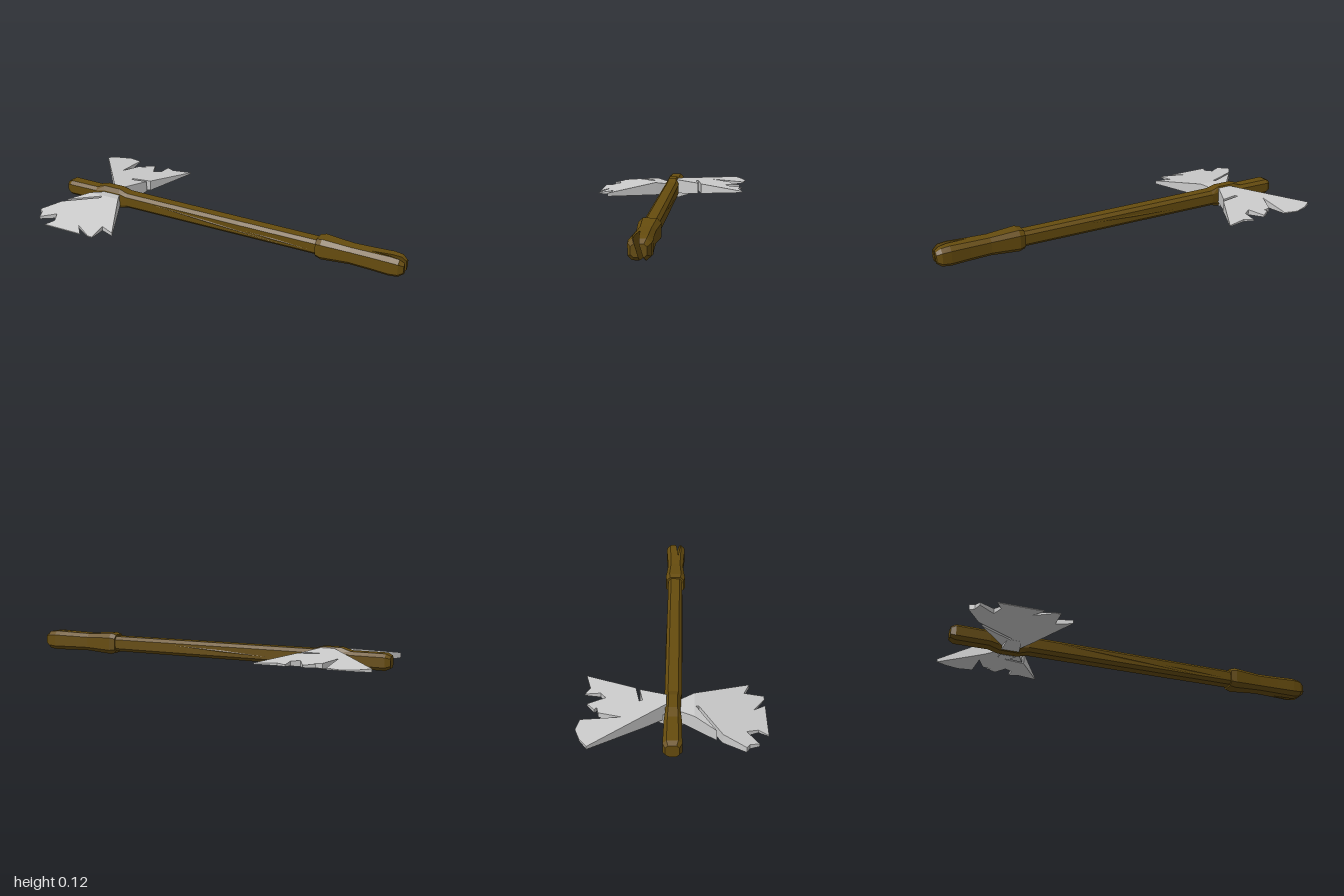
import * as THREE from 'three';

const steel = new THREE.MeshStandardMaterial({ color: 0xcccccc, flatShading: true, side: THREE.DoubleSide });
const wood = new THREE.MeshStandardMaterial({ color: 0x664c0e, flatShading: true });
const CY = 0.061; // height of the handle axis
const CHAMFER = 0.6;

// Skin a list of rings running along +x, closed with a cap at each end
function loft(rings) {
  const pos = [];
  const tri = (a, b, c) => pos.push(...a, ...b, ...c);
  const n = rings[0].length;
  for (let k = 0; k < rings.length - 1; k++) {
    for (let i = 0; i < n; i++) {
      const j = (i + 1) % n, A = rings[k], B = rings[k + 1];
      tri(A[i], A[j], B[i]);
      tri(A[j], B[j], B[i]);
    }
  }
  const first = rings[0], last = rings[rings.length - 1];
  for (let i = 1; i < n - 1; i++) {
    tri(first[0], first[i + 1], first[i]);
    tri(last[0], last[i], last[i + 1]);
  }
  const geo = new THREE.BufferGeometry();
  geo.setAttribute('position', new THREE.Float32BufferAttribute(pos, 3));
  geo.computeVertexNormals();
  return geo;
}

// Chamfered rectangle across the handle
function octagon([x, hy, hz]) {
  const fy = hy * CHAMFER, fz = hz * CHAMFER;
  return [[-fz, hy], [fz, hy], [hz, fy], [hz, -fy], [fz, -hy], [-fz, -hy], [-hz, -fy], [-hz, fy]]
    .map(([z, y]) => [x, CY + y, z]);
}

// One half of that section, beside a tilted split of half-width gap
function halfOctagon([x, hy, hz, gap], side) {
  const fy = hy * CHAMFER, fz = hz * CHAMFER, t = 0.3 * hy;
  return [[t + gap, hy], [fz, hy], [hz, fy], [hz, -fy], [fz, -hy], [-t + gap, -hy]]
    .map(([z, y]) => [x, CY + side * y, side * z]);
}

// Plate with an [x, z] outline; top and bottom heights run straight from z0 to z1
function wedge(outline, z0, z1, top, bottom) {
  const shape = new THREE.Shape(outline.map(([x, z]) => new THREE.Vector2(x, -z)));
  const geo = new THREE.ExtrudeGeometry(shape, { depth: 1, bevelEnabled: false });
  geo.rotateX(-Math.PI / 2);
  const p = geo.attributes.position;
  for (let i = 0; i < p.count; i++) {
    const t = (p.getZ(i) - z0) / (z1 - z0);
    const ends = p.getY(i) > 0.5 ? top : bottom;
    p.setY(i, THREE.MathUtils.lerp(ends[0], ends[1], t));
  }
  geo.computeVertexNormals();
  return geo;
}

function add(parent, name, geo, mat) {
  const mesh = new THREE.Mesh(geo, mat);
  mesh.name = name;
  parent.add(mesh);
  return mesh;
}

export function createModel() {
  const model = new THREE.Group();
  model.name = 'doubleAxe';

  // Handle: [x, half height, half depth], swelling at the head and the grip
  const handle = new THREE.Group();
  handle.name = 'handle';
  model.add(handle);
  add(handle, 'shaft', loft([
    [-1, 0.03, 0.032], [-0.975, 0.042, 0.044], [-0.8, 0.042, 0.041],
    [-0.75, 0.058, 0.036], [-0.65, 0.058, 0.036], [-0.6, 0.043, 0.041],
    [0.1, 0.042, 0.041], [0.545, 0.041, 0.04],
  ].map(octagon)), wood);
  add(handle, 'grip', loft([
    [0.54, 0.05, 0.049], [0.57, 0.058, 0.056], [0.72, 0.048, 0.045], [0.83, 0.05, 0.049],
  ].map(octagon)), wood);

  // Split end of the grip
  for (const side of [1, -1]) {
    add(handle, side > 0 ? 'frontProng' : 'backProng', loft([
      [0.83, 0.05, 0.049, 0.0005], [0.93, 0.053, 0.055, 0.01],
      [0.975, 0.048, 0.052, 0.014], [1, 0.03, 0.036, 0.01],
    ].map((s) => halfOctagon(s, side))), wood);
  }

  // Long raised splinters in the wood: [x, y, z, length, tilt]
  for (const [x, y, z, length, tilt] of [
    [-0.08, 0.062, 0.0405, 0.85, -0.055], [-0.1, 0.062, -0.0405, 0.6, 0.05], [0.3, 0.055, 0.04, 0.4, -0.04],
  ]) {
    const splinter = new THREE.SphereGeometry(1, 4, 2);
    splinter.scale(length / 2, 0.007, 0.004);
    add(handle, 'splinter', splinter, wood).position.set(x, y, z);
    handle.children.at(-1).rotation.z = tilt;
  }

  // Front blade: plain root, underside keel, then the slotted and chipped fan
  const front = new THREE.Group();
  front.name = 'frontBlade';
  model.add(front);
  add(front, 'root', wedge([[-0.74, 0.03], [-0.796, 0.1], [-0.611, 0.1], [-0.648, 0.03]],
    0.03, 0.1, [0.088, 0.1], [0.025, 0.025]), steel);
  add(front, 'keel', wedge([[-0.74, 0.03], [-0.73, 0.11], [-0.66, 0.11], [-0.65, 0.03]],
    0.03, 0.11, [0.06, 0.06], [0.005, 0.025]), steel);
  add(front, 'chippedFan', wedge([
    [-0.796, 0.1], [-0.88, 0.2], [-0.715, 0.107], [-0.71, 0.12], [-0.9, 0.227], [-0.97, 0.33],
    [-0.945, 0.345], [-0.93, 0.39], [-0.853, 0.335], [-0.83, 0.39], [-0.86, 0.437], [-0.63, 0.437],
    [-0.68, 0.377], [-0.58, 0.437], [-0.553, 0.437], [-0.553, 0.34], [-0.473, 0.37], [-0.611, 0.1],
  ], 0.1, 0.437, [0.1, 0.042], [0.025, 0.037]), steel);

  // Back blade, built the same way
  const back = new THREE.Group();
  back.name = 'backBlade';
  model.add(back);
  add(back, 'root', wedge([[-0.72, -0.03], [-0.8, -0.13], [-0.601, -0.13], [-0.644, -0.03]],
    -0.03, -0.13, [0.114, 0.106], [0.032, 0.038]), steel);
  add(back, 'keel', wedge([[-0.735, -0.03], [-0.72, -0.15], [-0.66, -0.15], [-0.65, -0.03]],
    -0.03, -0.15, [0.06, 0.07], [0.005, 0.04]), steel);
  add(back, 'chippedFan', wedge([
    [-0.8, -0.13], [-1, -0.377], [-0.945, -0.415], [-0.874, -0.44], [-0.8, -0.425], [-0.8, -0.233],
    [-0.757, -0.345], [-0.715, -0.355], [-0.73, -0.366], [-0.68, -0.404], [-0.64, -0.318], [-0.6, -0.345],
    [-0.6, -0.42], [-0.553, -0.398], [-0.445, -0.425], [-0.574, -0.178], [-0.682, -0.158],
    [-0.677, -0.143], [-0.588, -0.16], [-0.601, -0.13],
  ], -0.13, -0.44, [0.106, 0.081], [0.038, 0.077]), steel);

  return model;
}
